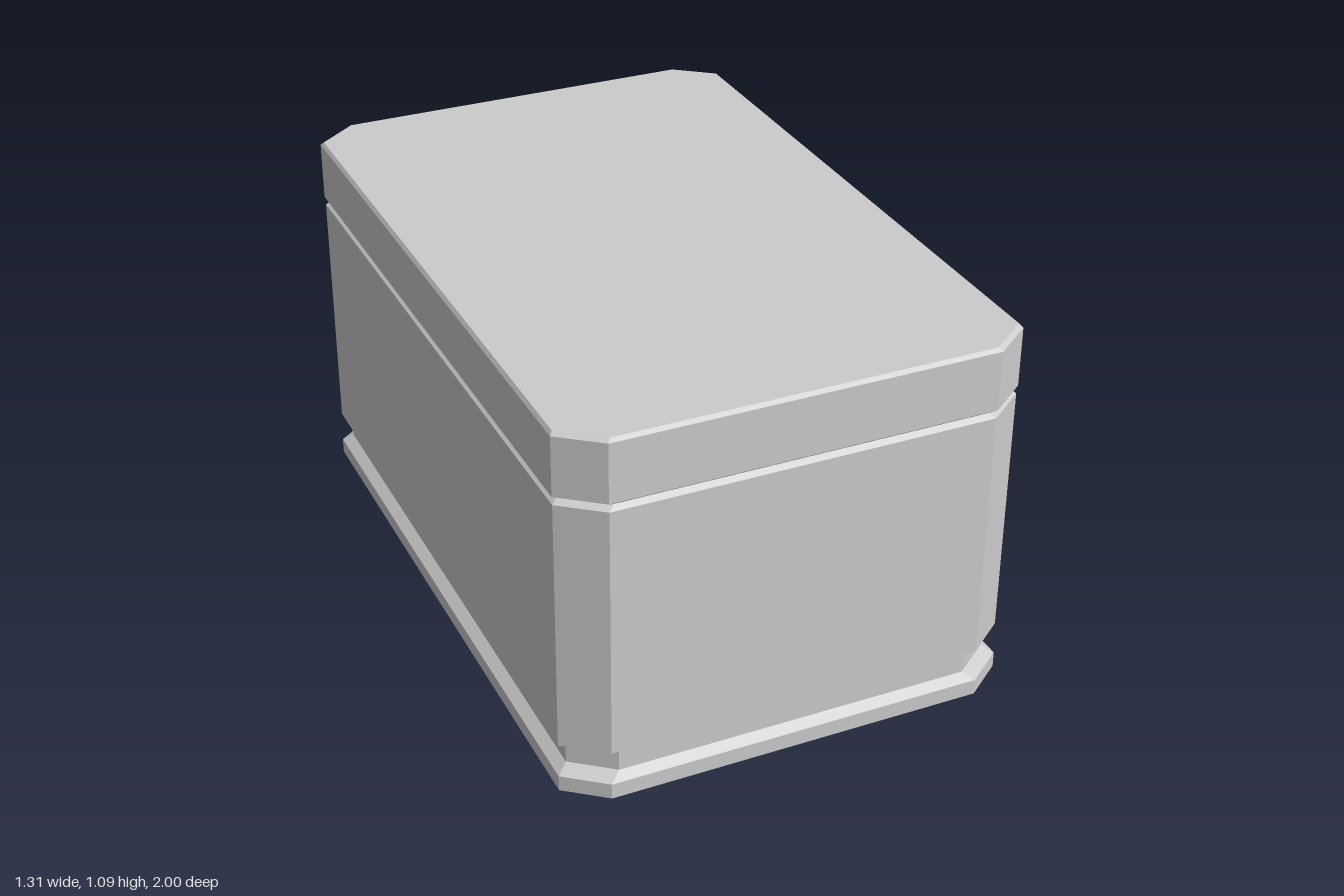
import * as THREE from 'three';

const material = new THREE.MeshStandardMaterial({ color: 0xcccccc, flatShading: true });

// Rectangle with cut corners, running from the front towards +x
function ring(y, hx, hz, cutX = 0.113, cutZ = 0.087) {
  const cx = hx - cutX, cz = hz - cutZ;
  return [
    [-cx, y, hz], [cx, y, hz], [hx, y, cz], [hx, y, -cz],
    [cx, y, -hz], [-cx, y, -hz], [-hx, y, -cz], [-hx, y, cz],
  ];
}

// Closed solid through rings stacked from bottom to top; levels are [y, halfX, halfZ]
function stack(name, levels) {
  const rings = levels.map((level) => ring(...level));
  const positions = [];
  const tri = (a, b, c) => positions.push(...a, ...b, ...c);
  for (let k = 0; k < rings.length - 1; k++) {
    const low = rings[k], high = rings[k + 1];
    for (let i = 0; i < 8; i++) {
      const j = (i + 1) % 8;
      tri(low[i], low[j], high[j]);
      tri(low[i], high[j], high[i]);
    }
  }
  const bottom = rings[0], top = rings[rings.length - 1];
  for (let i = 1; i < 7; i++) {
    tri(bottom[0], bottom[i + 1], bottom[i]);
    tri(top[0], top[i], top[i + 1]);
  }
  const geometry = new THREE.BufferGeometry();
  geometry.setAttribute('position', new THREE.Float32BufferAttribute(positions, 3));
  geometry.computeVertexNormals();
  const mesh = new THREE.Mesh(geometry, material);
  mesh.name = name;
  return mesh;
}

export function createModel() {
  const group = new THREE.Group();
  group.name = 'chest';
  group.add(
    // Foot slab with sloped shoulder and recessed plinth
    stack('base', [[0, 0.654, 1], [0.046, 0.654, 1], [0.068, 0.624, 0.977], [0.13, 0.624, 0.977]]),
    // Main box, bevelled top and bottom
    stack('body', [[0.13, 0.632, 0.98], [0.143, 0.652, 0.995], [0.88, 0.652, 0.995], [0.893, 0.635, 0.982]]),
    // Lid, separated from the body by a V groove
    stack('lid', [[0.893, 0.635, 0.982], [0.905, 0.654, 0.997], [1.076, 0.654, 0.997], [1.086, 0.646, 0.988]]),
  );
  return group;
}
